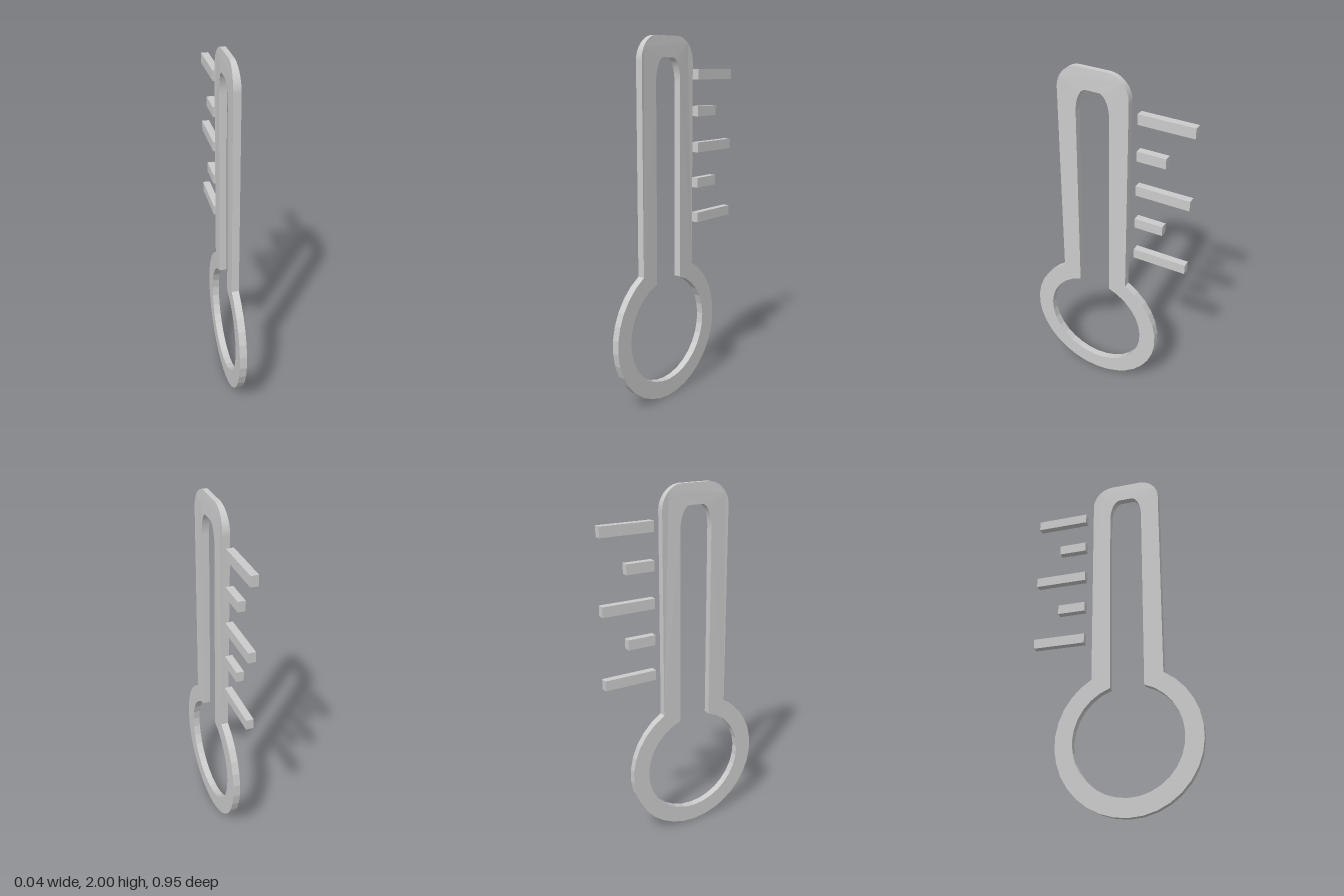
import * as THREE from 'three';

const THICK = 0.04;
const CENTRE_Z = 0.075;
const BULB_Y = 0.4;

// Keyhole outline: a round bulb with an upright tube that has rounded top corners
function keyhole(path, bulbR, half, top, rx, ry) {
  const neck = Math.acos(half / bulbR);
  path.moveTo(half, top - ry);
  path.absellipse(half - rx, top - ry, rx, ry, 0, Math.PI / 2, false, 0);
  path.absellipse(rx - half, top - ry, rx, ry, Math.PI / 2, Math.PI, false, 0);
  path.absarc(0, BULB_Y, bulbR, Math.PI - neck, 2 * Math.PI + neck, false);
  path.closePath();
  return path;
}

export function createModel() {
  const model = new THREE.Group();
  model.name = 'thermometer';
  const material = new THREE.MeshStandardMaterial({ color: 0xcccccc, flatShading: true });

  // Frame: bulb and tube, open in the middle
  const shape = keyhole(new THREE.Shape(), 0.4, 0.2, 2, 0.12, 0.13);
  shape.holes.push(keyhole(new THREE.Path(), 0.302, 0.095, 1.89, 0.06, 0.13));
  const geometry = new THREE.ExtrudeGeometry(shape, {
    depth: THICK, bevelEnabled: false, curveSegments: 14,
  });
  geometry.translate(0, 0, -THICK / 2);
  geometry.rotateY(Math.PI / 2);

  // The rounded top thins slightly towards its crown
  const pos = geometry.attributes.position;
  for (let i = 0; i < pos.count; i++) {
    const t = Math.max(0, (pos.getY(i) - 1.87) / 0.13);
    pos.setX(i, pos.getX(i) * (1 - 0.3 * t * t));
  }
  geometry.computeVertexNormals();
  const frame = new THREE.Mesh(geometry, material);
  frame.name = 'frame';
  frame.position.z = CENTRE_Z;
  model.add(frame);

  // Scale marks: long and short bars in turn behind the tube
  for (let i = 0; i < 5; i++) {
    const length = i % 2 ? 0.16 : 0.3;
    const mark = new THREE.Mesh(new THREE.BoxGeometry(THICK, 0.056, length), material);
    mark.name = i % 2 ? 'shortMark' : 'longMark';
    mark.position.set(0, 1.003 + i * 0.2, -0.173 - length / 2);
    model.add(mark);
  }
  return model;
}
